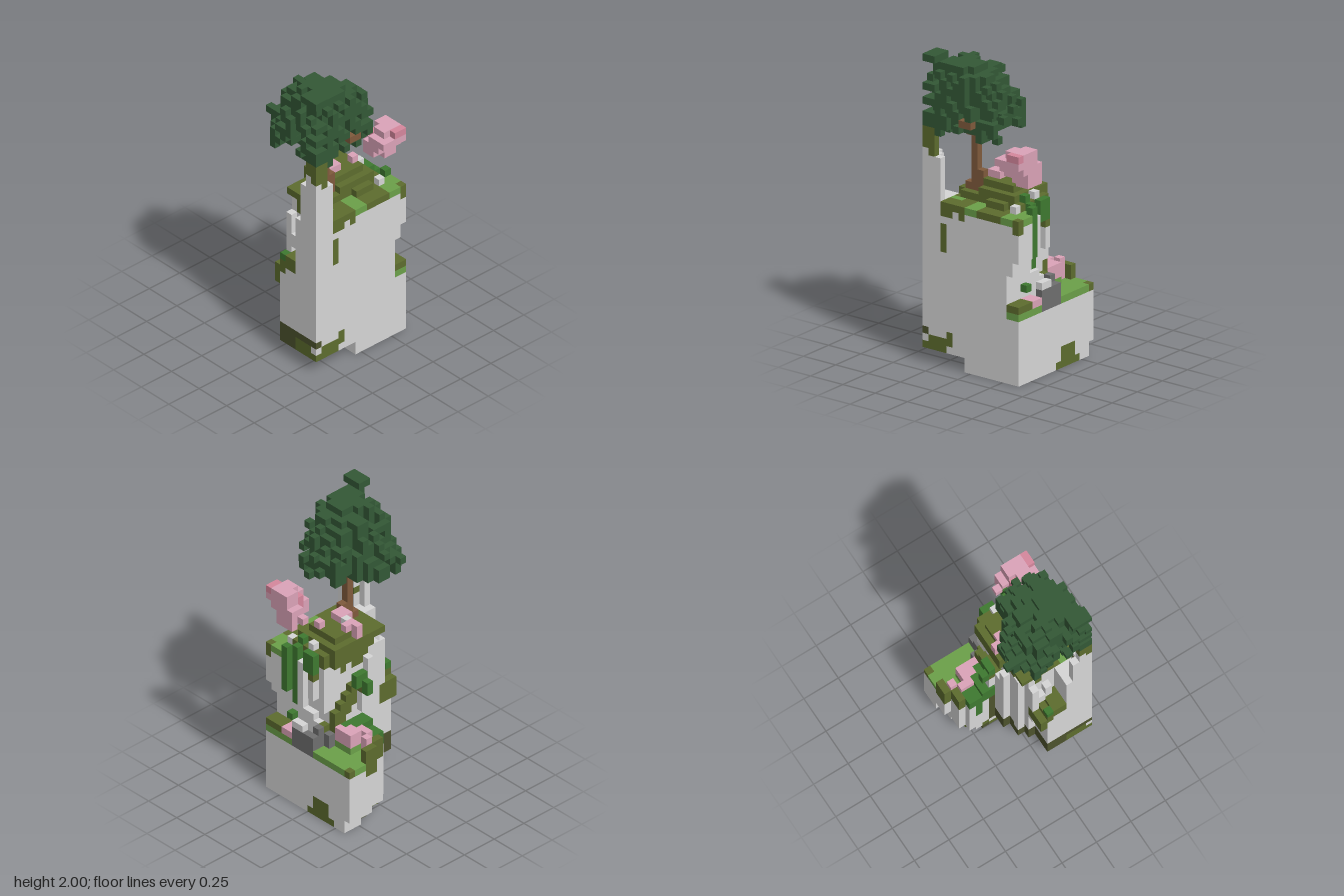
import * as THREE from 'three';

const N = 16, H = 43, S = 2 / H;
const PALETTE = {
  stone: 0xd6d6d6, darkStone: 0x6f6f6f, moss: 0x5d6c2e, darkMoss: 0x4d522d, grass: 0x6ba049,
  leaf: 0x3e7930, canopy: 0x335836, bark: 0x7f5a3c, blossom: 0xdba3b8, deepBlossom: 0xd6879d,
};

// Seeded noise per cell
const noise = (x, y, z) => {
  const v = Math.sin(x * 127.1 + y * 311.7 + z * 74.7) * 43758.5453;
  return v - Math.floor(v);
};

const SIDES = [
  { n: [1, 0, 0], c: [[1, 0, 1], [1, 0, 0], [1, 1, 0], [1, 1, 1]] },
  { n: [-1, 0, 0], c: [[0, 0, 0], [0, 0, 1], [0, 1, 1], [0, 1, 0]] },
  { n: [0, 1, 0], c: [[0, 1, 1], [1, 1, 1], [1, 1, 0], [0, 1, 0]] },
  { n: [0, -1, 0], c: [[0, 0, 0], [1, 0, 0], [1, 0, 1], [0, 0, 1]] },
  { n: [0, 0, 1], c: [[0, 0, 1], [1, 0, 1], [1, 1, 1], [0, 1, 1]] },
  { n: [0, 0, -1], c: [[1, 0, 0], [0, 0, 0], [0, 1, 0], [1, 1, 0]] },
];

export function createModel() {
  const cells = new Map();
  const key = (x, y, z) => x + N * (z + N * y);
  const inside = (x, y, z) => x >= 0 && x < N && z >= 0 && z < N && y >= 0 && y < H;
  const has = (x, y, z) => inside(x, y, z) && cells.has(key(x, y, z));
  const put = (part, mat, x, y, z) => inside(x, y, z) && cells.set(key(x, y, z), { part, mat, x, y, z });
  // Upper bounds are exclusive
  const each = (x0, x1, y0, y1, z0, z1, fn) => {
    for (let y = y0; y < y1; y++) for (let z = z0; z < z1; z++) for (let x = x0; x < x1; x++) fn(x, y, z);
  };
  const fill = (part, mat, ...b) => each(...b, (x, y, z) => put(part, mat, x, y, z));
  const paint = (mat, chance, ...b) => each(...b, (x, y, z) => {
    if (has(x, y, z) && noise(x, y, z) < chance) cells.get(key(x, y, z)).mat = mat;
  });
  const carve = (...b) => each(...b, (x, y, z) => cells.delete(key(x, y, z)));

  // Cliff base: left limit of the footprint for each row of depth
  const baseLeft = [0, 0, 0, 0, 0, 1, 1, 2, 6, 6, 7, 7, 8, 9, 9, 9];
  baseLeft.forEach((left, z) => {
    fill('cliffBase', 'stone', left, N, 2, 10, z, z + 1);
    if (z < 9) fill('cliffBase', 'stone', left + 1, N, 1, 2, z, z + 1);
    if (z < 9) fill('cliffBase', 'stone', left + (z < 3 ? 1 : 2), N, 0, 1, z, z + 1);
  });
  paint('grass', 1, 0, 7, 9, 10, 0, 5);
  paint('grass', 1, 7, N, 9, 10, 0, 2);
  paint('moss', 1, 0, 1, 9, 10, 0, 1);
  paint('moss', 0.3, 0, 4, 7, 9, 3, 8);
  carve(0, 1, 2, 4, 3, 5);

  // Mossy underside of the base
  paint('darkMoss', 1, 5, 12, 2, 5, 8, N);
  paint('moss', 0.9, 12, N, 2, 4, 11, N);
  paint('darkMoss', 1, 12, N, 4, 5, 15, N);
  paint('moss', 0.55, 13, N, 4, 5, 11, N);
  paint('darkMoss', 0.8, 2, 13, 0, 2, 4, 9);
  paint('moss', 0.45, 2, 13, 0, 2, 4, 9);
  paint('moss', 1, 3, 8, 0, 1, 0, 1);
  paint('moss', 1, 4, 7, 1, 3, 0, 1);
  paint('darkMoss', 1, 5, 6, 2, 10, 7, 8);

  // Tower above the terrace, overhanging at the back corner
  const towerLeft = [16, 16, 7, 7, 7, 7, 7, 7, 7, 7, 7, 8, 8, 12, 12, 12];
  towerLeft.forEach((left, z) => fill('tower', 'stone', left, N, 10, 23, z, z + 1));
  fill('tower', 'stone', 12, N, 15, 23, 1, 2);
  fill('tower', 'stone', 13, N, 17, 23, 0, 1);
  fill('tower', 'stone', 12, 13, 19, 23, 0, 1);
  for (const [x, y0, y1, z] of [[6, 5, 21, 9], [6, 10, 18, 8], [7, 4, 22, 11], [8, 10, 21, 13], [10, 17, 20, 13], [9, 16, 18, 13], [10, 15, 22, 1], [8, 17, 22, 1]])
    fill('tower', 'stone', x, x + 1, y0, y1, z, z + 1);
  carve(7, 9, 13, 15, 2, 3);
  carve(9, 11, 14, 18, 2, 3);

  // Front ledge
  fill('frontLedge', 'moss', 8, 9, 11, 14, 13, N);
  [15, 16, 16].forEach((h, i) => {
    fill('frontLedge', 'stone', 9 + i, 10 + i, 10, h - 2, 13, N);
    fill('frontLedge', 'moss', 9 + i, 10 + i, h - 2, h, 13, N);
  });
  put('frontLedge', 'leaf', 9, 15, 15);

  // Tall corner pillar with a diagonal inner side
  each(13, N, 23, 35, 13, N, (x, y, z) => {
    if (x + z >= (y < 29 ? 28 : 29)) put('cornerPillar', y < 31 ? 'stone' : y < 33 ? 'moss' : 'canopy', x, y, z);
  });
  paint('moss', 0.45, 13, N, 29, 31, 13, N);
  paint('moss', 0.5, 13, 15, 23, 29, 13, 15);

  // Summit grass and mossy mound
  paint('grass', 1, 12, N, 22, 23, 0, 13);
  paint('moss', 0.8, 13, N, 22, 23, 3, 7);
  paint('moss', 0.8, 12, N, 21, 23, 9, 13);
  paint('moss', 1, 15, N, 21, 23, 0, 1);
  paint('moss', 1, 15, N, 16, 20, 12, 13);
  fill('mound', 'moss', 7, 13, 23, 24, 2, 12);
  fill('mound', 'moss', 6, 13, 22, 25, 3, 9);
  fill('mound', 'moss', 7, 12, 25, 26, 4, 9);
  fill('mound', 'moss', 7, 12, 23, 24, 9, 13);
  paint('moss', 1, 6, 12, 22, 23, 2, 9);
  paint('moss', 0.6, 6, 12, 20, 22, 2, 9);
  paint('moss', 0.5, 6, 10, 22, 23, 9, 14);
  paint('moss', 1, 9, 10, 21, 23, 12, 13);
  fill('mound', 'moss', 8, 9, 20, 23, 1, 2);
  fill('mound', 'moss', 12, 14, 23, 24, 4, 7);
  fill('mound', 'stone', 8, 9, 26, 27, 7, 8);
  fill('mound', 'stone', 9, 10, 23, 25, 2, 3);
  fill('mound', 'stone', 13, 14, 23, 24, 2, 3);
  fill('mound', 'leaf', 11, 12, 23, 25, 2, 3);
  fill('moundFlowers', 'blossom', 7, 8, 26, 27, 6, 8);
  fill('moundFlowers', 'blossom', 6, 7, 25, 27, 7, 8);
  fill('moundFlowers', 'blossom', 10, 11, 26, 27, 4, 5);
  fill('moundFlowers', 'blossom', 9, 11, 26, 27, 7, 9);

  // Terrace rim, rising side ledges and their plants
  fill('terraceRim', 'moss', 0, 1, 9, 12, 3, 5);
  fill('terraceRim', 'moss', 1, 2, 9, 12, 5, 7);
  fill('terraceRim', 'moss', 13, N, 10, 11, 0, 2);
  fill('terraceRim', 'leaf', 2, 6, 10, 12, 5, 8);
  fill('terraceRim', 'leaf', 4, 6, 10, 13, 5, 8);
  fill('terraceRim', 'leaf', 5, 6, 10, 13, 4, 5);
  fill('terraceRim', 'grass', 3, 6, 10, 11, 3, 5);
  paint('leaf', 1, 3, 4, 6, 10, 7, 8);
  fill('terraceFlowers', 'blossom', 3, 6, 11, 13, 3, 4);
  fill('terraceFlowers', 'blossom', 3, 5, 11, 13, 4, 5);
  fill('terraceFlowers', 'blossom', 2, 4, 12, 13, 5, 6);
  fill('terraceFlowers', 'blossom', 1, 2, 10, 13, 4, 5);
  fill('terraceFlowers', 'blossom', 11, 13, 10, 11, 0, 2);
  [[7, 2, 13], [6, 3, 15], [6, 4, 16], [6, 5, 17], [6, 6, 18], [6, 7, 18]].forEach(([x, z, h]) => {
    fill('sideLedges', 'stone', x, 7, 10, h - 3, z, z + 1);
    fill('sideLedges', 'moss', x, x + 1, h - 3, h, z, z + 1);
  });
  fill('sideLedges', 'stone', 5, 6, 14, 17, 7, 8);
  fill('sideLedges', 'moss', 5, 6, 17, 19, 7, 8);
  fill('sideLedges', 'leaf', 4, 5, 17, 19, 7, 8);
  fill('sideLedges', 'leaf', 5, 6, 18, 20, 6, 8);

  // Loose rocks and the vines at the back
  fill('looseRocks', 'darkStone', 7, 11, 9, 12, 0, 1);
  fill('looseRocks', 'darkStone', 7, 8, 10, 13, 1, 2);
  fill('looseRocks', 'darkStone', 6, 7, 10, 12, 2, 3);
  fill('looseRocks', 'stone', 9, 11, 12, 13, 0, 1);
  fill('backVine', 'leaf', 8, 10, 21, 24, 1, 2);
  fill('backVine', 'leaf', 11, 12, 15, 24, 1, 2);
  fill('backVine', 'leaf', 12, 13, 17, 24, 0, 1);
  fill('backVine', 'leaf', 12, 13, 12, 13, 1, 2);

  // Blossom cluster, its underside rising toward the back corner
  each(10, N, 27, 32, 0, 4, (x, y, z) => {
    const reach = [3.2, 4.3, 4.6, 4.1, 2.6][y - 27];
    if (y < 27 + Math.max(0, x - 13) * 1.4 || x - z * 0.5 < 10.5 - (z === 1) || (y === 27 && z > 1)) return;
    if (Math.hypot((15.5 - x) * 0.8, z) < reach + (noise(x, y, z) - 0.5) * 1.6) put('blossomCluster', 'blossom', x, y, z);
  });
  paint('deepBlossom', 1, 15, N, 31, 32, 0, 2);
  paint('deepBlossom', 1, 12, 13, 29, 32, 2, 3);

  // Tree crown: ragged, porous dome, hollow at the bottom; radii per layer, left limit per row of depth
  const radii = [[7, 6], [7.6, 7], [7.9, 7.4], [7.5, 7], [6.2, 6.4], [5.9, 6], [5.6, 5.6], [5.3, 5.1], [4.5, 3.9], [3, 2.6]];
  const hollow = [0.55, 0.55, 0.48, 0.3];
  const crownLeft = [16, 16, 16, 16, 9, 8, 8, 8, 7, 6, 5, 5, 4, 4, 5, 7];
  radii.forEach(([rx, rz], i) => each(0, N, 32 + i, 33 + i, 0, N, (x, y, z) => {
    const d = Math.hypot((x - 11.9) / rx, (z - 11) / rz) + (noise(x, y, z) - 0.45) * 0.38;
    const drip = i > 0 || noise(z, y, x) > 0.8;
    const gap = noise(z, x, y) < (x === 15 || z === 15 ? 0.5 : d > 0.55 ? 0.16 : 0);
    const open = i < 4 && x < 14 && d < hollow[i];
    if (d < 1 && x >= crownLeft[z] && drip && !gap && !open) put('treeCrown', 'canopy', x, y, z);
  }));
  fill('treeCrown', 'canopy', 13, N, 42, 43, 14, N);
  fill('treeCrown', 'canopy', 13, 15, 40, 42, 13, 15);
  carve(10, 12, 32, 35, 11, N);
  carve(11, 12, 35, 36, 11, N);
  carve(9, 13, 32, 34, 3, 9);
  carve(15, N, 32, 42, 3, 8);

  // Trunk, roots and branches
  fill('trunk', 'bark', 11, 12, 24, 36, 10, 11);
  fill('trunk', 'bark', 11, 12, 24, 25, 9, 12);
  fill('trunk', 'bark', 11, 12, 25, 27, 9, 10);
  fill('trunk', 'bark', 10, 11, 33, 34, 10, 11);
  fill('trunk', 'bark', 12, 13, 32, 33, 10, 11);
  fill('trunk', 'bark', 12, N, 34, 35, 8, 10);
  fill('trunk', 'bark', 11, 13, 33, 36, 7, 8);

  // Outer faces gathered by part and colour
  const batches = new Map();
  for (const { part, mat, x, y, z } of cells.values()) {
    const id = part + '|' + mat;
    if (!batches.has(id)) batches.set(id, { part, mat, pos: [], nor: [], idx: [] });
    const b = batches.get(id);
    for (const { n, c } of SIDES) {
      if (has(x + n[0], y + n[1], z + n[2])) continue;
      const k = b.pos.length / 3;
      for (const [cx, cy, cz] of c) {
        b.pos.push((x + cx - N / 2) * S, (y + cy) * S, (z + cz - N / 2) * S);
        b.nor.push(...n);
      }
      b.idx.push(k, k + 1, k + 2, k, k + 2, k + 3);
    }
  }
  const materials = {}, model = new THREE.Group(), parts = {};
  for (const [name, color] of Object.entries(PALETTE)) {
    materials[name] = new THREE.MeshStandardMaterial({ color });
    materials[name].name = name;
  }
  model.name = 'cliffWithTree';
  for (const { part, mat, pos, nor, idx } of batches.values()) {
    if (!idx.length) continue;
    if (!parts[part]) model.add(parts[part] = new THREE.Group());
    parts[part].name = part;
    const g = new THREE.BufferGeometry();
    g.setAttribute('position', new THREE.Float32BufferAttribute(pos, 3));
    g.setAttribute('normal', new THREE.Float32BufferAttribute(nor, 3));
    g.setIndex(idx);
    const mesh = new THREE.Mesh(g, materials[mat]);
    mesh.name = part + ' ' + mat;
    parts[part].add(mesh);
  }
  return model;
}
